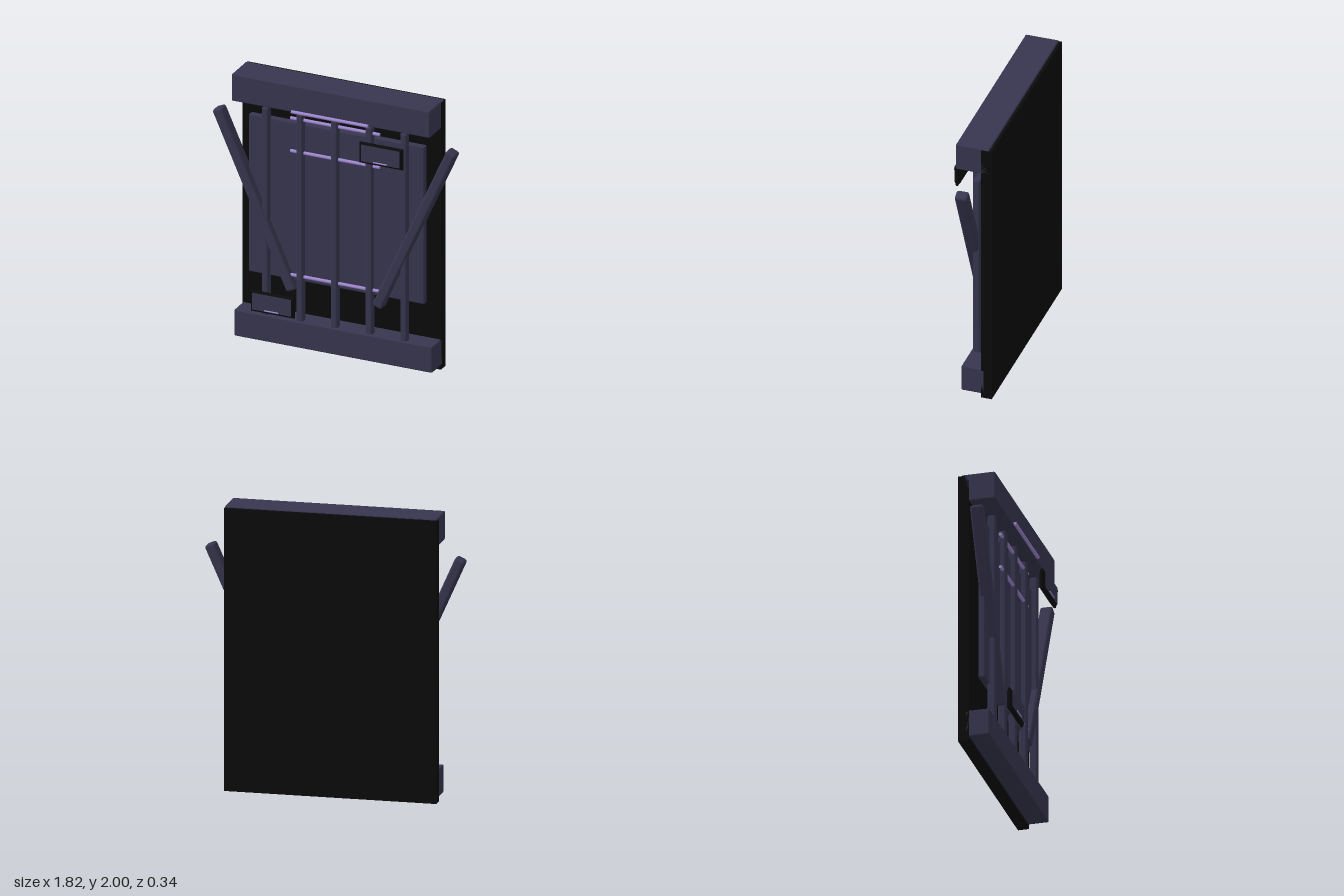
import * as THREE from 'three';
import { RoundedBoxGeometry } from 'three/addons/geometries/RoundedBoxGeometry.js';

export function createModel() {
  const model = new THREE.Group();
  model.name = 'barredPanel';

  const mat = (name, color) => {
    const m = new THREE.MeshStandardMaterial({ color });
    m.name = name;
    return m;
  };
  const slate = mat('slate', 0x38364f);
  const black = mat('black', 0x0b0b0b);
  const violet = mat('violet', 0x9f87d0);

  const add = (name, geometry, material, x, y, z, parent = model) => {
    const mesh = new THREE.Mesh(geometry, material);
    mesh.name = name;
    mesh.position.set(x, y, z);
    parent.add(mesh);
    return mesh;
  };
  // Box with a narrow bevel, given by its limits in y and z
  const slab = (name, w, y0, y1, z0, z1, r = 0.01) =>
    add(name, new RoundedBoxGeometry(w, y1 - y0, z1 - z0, 1, r), slate, 0, (y0 + y1) / 2, (z0 + z1) / 2);
  // Thin horizontal rod
  const rod = (name, length, radius, y, z, x = 0, parent = model) => {
    const g = new THREE.CylinderGeometry(radius, radius, length, 10).rotateZ(Math.PI / 2);
    return add(name, g, violet, x, y, z, parent);
  };

  // Back panel, beams and inner slab
  add('backPanel', new THREE.BoxGeometry(1.49, 1.99, 0.077), black, 0, 0.995, -0.132);
  slab('topBeam', 1.49, 1.8, 2, -0.15, 0.09);
  slab('bottomBeam', 1.49, 0.03, 0.225, -0.12, 0.05);
  slab('innerSlab', 1.32, 0.505, 1.68, -0.055, -0.005);

  // Upright bars
  for (let i = -2; i <= 2; i++) {
    add('uprightBar', new RoundedBoxGeometry(0.05, 1.61, 0.058, 2, 0.014), slate, i * 0.26, 0.965, 0.007);
  }

  // Diagonal struts, mirrored
  const low = new THREE.Vector2(0.325, 0.45);
  const high = new THREE.Vector2(0.876, 1.682);
  const length = low.distanceTo(high) + 0.025;
  const lean = Math.atan2(high.x - low.x, high.y - low.y);
  for (const side of [-1, 1]) {
    const strut = add(side > 0 ? 'leftStrut' : 'rightStrut',
      new RoundedBoxGeometry(0.075, length, 0.09, 2, 0.018), slate,
      side * (low.x + high.x) / 2, (low.y + high.y) / 2, 0);
    strut.rotation.z = -side * lean;
  }

  // Glowing rods
  rod('beamRod', 0.575, 0.012, 1.81, 0.102);
  for (const y of [1.72, 1.475, 0.55]) rod('crossRod', 0.67, 0.012, y, 0.012);

  // Plaques: bevelled frame, face plate, screws and light strip
  const bevel = 0.018;
  const outline = new THREE.Shape();
  const w = 0.145, h = 0.058;
  outline.moveTo(-w, -h).lineTo(w, -h).lineTo(w, h).lineTo(-w, h).closePath();
  const frameGeo = new THREE.ExtrudeGeometry(outline, {
    depth: 0.012, bevelEnabled: true, bevelThickness: 0.014, bevelSize: bevel, bevelSegments: 1,
  });
  for (const [x, y, name] of [[0.408, 1.628, 'upperPlaque'], [-0.408, 0.367, 'lowerPlaque']]) {
    const plaque = new THREE.Group();
    plaque.name = name;
    plaque.position.set(x, y, 0.134);
    model.add(plaque);
    add('frame', frameGeo, black, 0, 0, 0, plaque);
    add('facePlate', new THREE.BoxGeometry(0.29, 0.122, 0.006), slate, 0, 0.003, 0.027, plaque);
    for (const s of [-1, 1]) {
      const screw = new THREE.CylinderGeometry(0.011, 0.011, 0.006, 10).rotateX(Math.PI / 2);
      add('screw', screw, slate, s * 0.125, 0.037, 0.032, plaque);
    }
    rod('lightStrip', 0.105, 0.005, -0.05, 0.032, 0, plaque);
  }

  return model;
}
